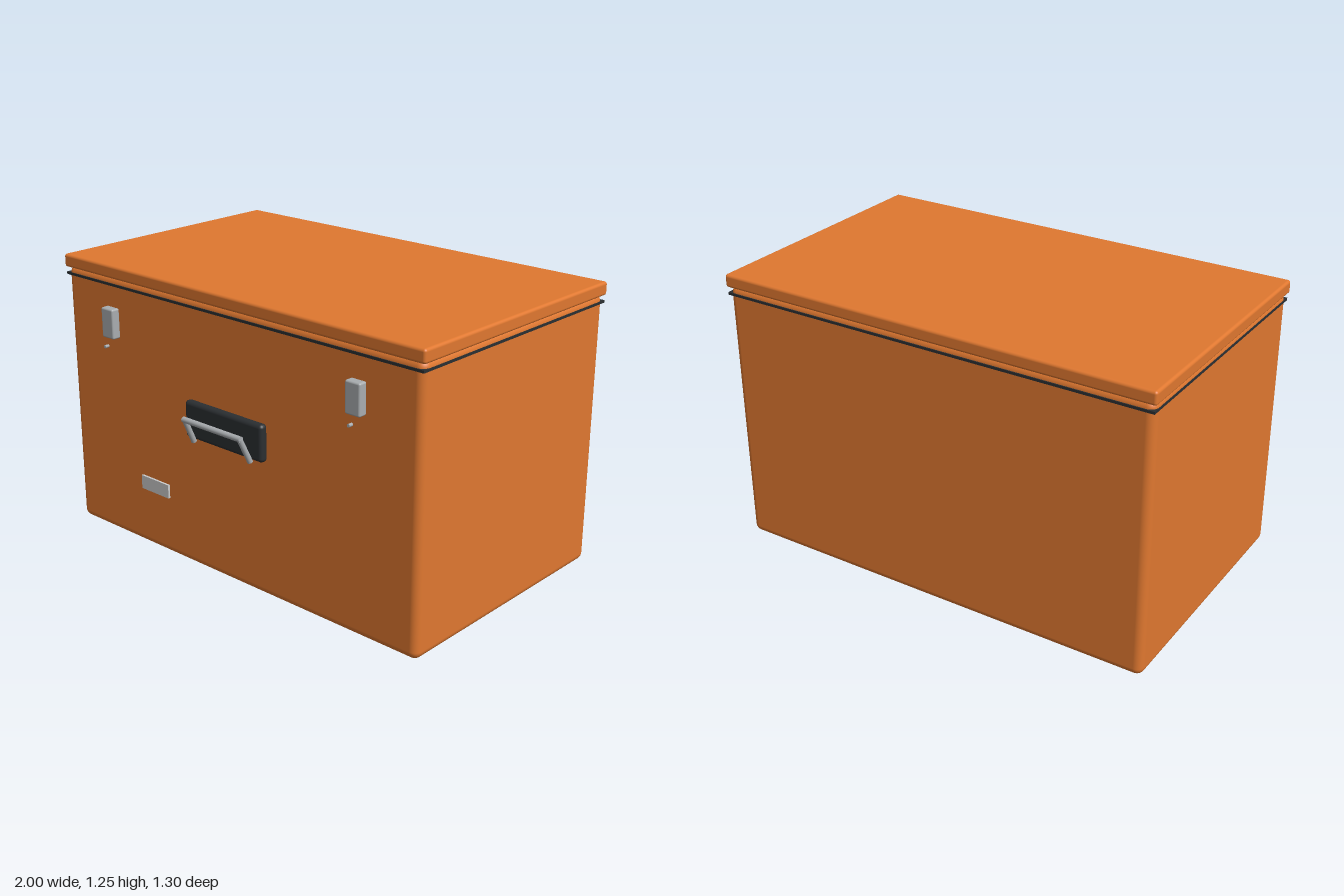
import * as THREE from 'three';
import { RoundedBoxGeometry } from 'three/addons/geometries/RoundedBoxGeometry.js';

const paint = (color) => new THREE.MeshStandardMaterial({ color });

export function createModel() {
  const model = new THREE.Group();
  model.name = 'chest';
  const orange = paint(0xe07830), black = paint(0x2b2f32), steel = paint(0xa9adb0), pale = paint(0xcccccc);

  const add = (name, geometry, material, x, y, z, parent = model) => {
    const mesh = new THREE.Mesh(geometry, material);
    mesh.name = name;
    mesh.position.set(x, y, z);
    parent.add(mesh);
    return mesh;
  };

  // Box given by its extents, with rounded edges when r > 0
  const block = (name, material, [x0, x1], [y0, y1], [z0, z1], r = 0) => {
    const size = [x1 - x0, y1 - y0, z1 - z0];
    const geometry = r ? new RoundedBoxGeometry(...size, 5, r) : new THREE.BoxGeometry(...size);
    return add(name, geometry, material, (x0 + x1) / 2, (y0 + y1) / 2, (z0 + z1) / 2);
  };

  // Chest body, lid and the dark seal under the lid
  block('body', orange, [-0.99, 0.99], [0, 1.205], [-0.64, 0.542], 0.035);
  block('lid', orange, [-1, 1], [1.195, 1.253], [-0.648, 0.551], 0.012);
  block('seal', black, [-0.992, 0.992], [1.162, 1.173], [-0.644, 0.546]);

  // Latches with their small pins below
  for (const side of [-1, 1]) {
    const x = side * 0.692;
    block('latch', steel, [x - 0.037, x + 0.037], [0.937, 1.07], [0.54, 0.581], 0.008);
    const pin = add('latchPin', new THREE.CylinderGeometry(0.007, 0.007, 0.02, 16), steel, x, 0.904, 0.59);
    pin.rotation.x = Math.PI / 2;
  }

  // Handle plate and label plate
  block('handlePlate', black, [-0.222, 0.222], [0.61, 0.772], [0.54, 0.579], 0.017);
  block('labelPlate', pale, [-0.523, -0.352], [0.284, 0.346], [0.562, 0.572]);

  // Handle: two arms leaning out from the plate, joined by a bar
  const handle = new THREE.Group();
  handle.name = 'handle';
  model.add(handle);
  const up = new THREE.Vector3(0, 1, 0);
  for (const side of [-1, 1]) {
    const foot = new THREE.Vector3(side * 0.163, 0.606, 0.584);
    const top = new THREE.Vector3(side * 0.158, 0.717, 0.636);
    const dir = top.clone().sub(foot);
    const mid = foot.clone().lerp(top, 0.5);
    const arm = add('handleArm', new THREE.CylinderGeometry(0.012, 0.012, dir.length(), 20), steel, mid.x, mid.y, mid.z, handle);
    arm.quaternion.setFromUnitVectors(up, dir.normalize());
  }
  const bar = add('handleBar', new THREE.CylinderGeometry(0.0125, 0.0125, 0.332, 20), steel, 0, 0.717, 0.636, handle);
  bar.rotation.z = Math.PI / 2;

  return model;
}
